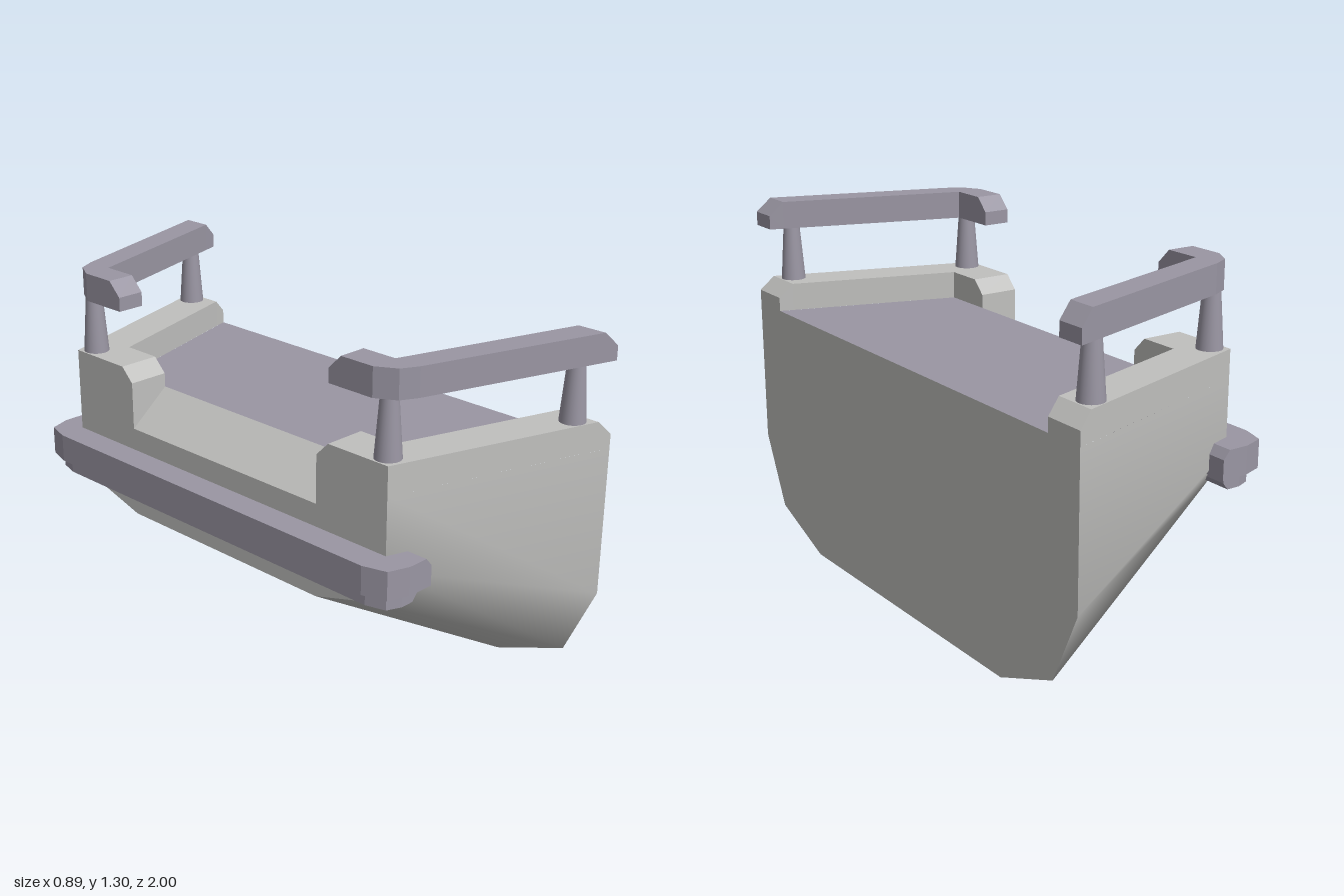
import * as THREE from 'three';

const hullGrey = new THREE.MeshStandardMaterial({ color: 0xc0c0be });
hullGrey.name = 'hullGrey';
const trimPurple = new THREE.MeshStandardMaterial({ color: 0x9a96a3 });
trimPurple.name = 'trimPurple';

const BACK = -0.35, FRONT = 0.445, DECK = 0.9, SILL = 0.78, GAP = 0.45;

// flat-shaded mesh from a list of convex polygons
function polys(name, list, material) {
  const pos = [];
  for (const p of list)
    for (let i = 1; i < p.length - 1; i++) pos.push(...p[0], ...p[i], ...p[i + 1]);
  const g = new THREE.BufferGeometry();
  g.setAttribute('position', new THREE.Float32BufferAttribute(pos, 3));
  g.computeVertexNormals();
  const m = new THREE.Mesh(g, material);
  m.name = name;
  return m;
}

// bar with a four-cornered section; station = [outerX, outerZ, innerX, innerZ, bottom, top]
function bar(name, stations, material, side = 1) {
  const rings = stations.map(([xo, zo, xi, zi, y0, y1]) => [
    [xo, y1, zo * side], [xi, y1, zi * side], [xi, y0, zi * side], [xo, y0, zo * side]]);
  const faces = [[...rings[0]].reverse(), rings[rings.length - 1]];
  for (let i = 0; i < rings.length - 1; i++)
    for (let k = 0; k < 4; k++) {
      const n = (k + 1) % 4;
      faces.push([rings[i][k], rings[i][n], rings[i + 1][n], rings[i + 1][k]]);
    }
  return polys(name, side > 0 ? faces : faces.map(f => [...f].reverse()), material);
}

// complete a half section or half path across z = 0
const mirrorSection = half => [...half, ...[...half].reverse().map(([z, y]) => [-z, y])];
const mirrorPath = half => [...half, ...[...half].reverse().map(
  ([xo, zo, xi, zi, a, b]) => [xo, -zo, xi, -zi, a, b])];

function createHull() {
  const hull = new THREE.Group();
  hull.name = 'hull';
  const back = mirrorSection([[0.75, DECK], [0.75, 0.65], [0.66, 0.51], [0.45, 0.45]]);
  const front = mirrorSection([[1, DECK], [1, 0.37], [0.88, 0.11], [0.6, 0]]);

  // smooth skin between the two end sections
  const pos = [], idx = [], n = back.length;
  for (const [z, y] of back) pos.push(BACK, y, z);
  for (const [z, y] of front) pos.push(FRONT, y, z);
  for (let k = 0; k < n - 1; k++)
    idx.push(k, k + 1, n + k + 1, k, n + k + 1, n + k);
  const g = new THREE.BufferGeometry();
  g.setAttribute('position', new THREE.Float32BufferAttribute(pos, 3));
  g.setIndex(idx);
  g.computeVertexNormals();
  const skin = new THREE.Mesh(g, hullGrey);
  skin.name = 'hullSkin';
  hull.add(skin);

  // large flat end
  hull.add(polys('flatEnd', [front.map(([z, y]) => [FRONT, y, z])], hullGrey));

  // narrow end wall with the notch, its sloped floor and its cheeks
  const lower = [[-0.45, 0.45], [0.45, 0.45], [0.66, 0.51], [0.75, 0.65], [0.75, SILL],
    [-0.75, SILL], [-0.75, 0.65], [-0.66, 0.51]].map(([z, y]) => [BACK, y, z]);
  const upper = (a, b) => [[BACK, SILL, a], [BACK, SILL, b], [BACK, DECK, b], [BACK, DECK, a]];
  const cheek = z => [[BACK, SILL, z], [BACK, DECK, z], [-0.2, DECK, z]];
  hull.add(polys('narrowEnd', [lower, upper(GAP, 0.75), upper(-0.75, -GAP)], hullGrey));
  hull.add(polys('notch', [
    [[BACK, SILL, -GAP], [BACK, SILL, GAP], [-0.2, DECK, GAP], [-0.2, DECK, -GAP]],
    cheek(GAP), cheek(-GAP).reverse()], hullGrey));

  hull.add(polys('deck', [[[-0.2, DECK, 0.645], [FRONT, DECK, 0.845],
    [FRONT, DECK, -0.845], [-0.2, DECK, -0.645]]], trimPurple));
  return hull;
}

function createSide(side) {
  const group = new THREE.Group();
  group.name = side > 0 ? 'frontBulwarkAndRail' : 'rearBulwarkAndRail';

  group.add(bar('bulwark', [
    [FRONT, 1, FRONT, 0.845, DECK, 0.95],
    [0.395, 0.984, 0.395, 0.83, DECK, 1],
    [BACK, 0.75, -0.2, 0.645, DECK, 1],
    [BACK, 0.5, -0.2, 0.5, DECK, 1],
    [BACK, GAP, -0.2, GAP, DECK, 0.95]], hullGrey, side));

  group.add(bar('handrail', [
    [FRONT, 1, FRONT, 0.895, 1.2, 1.25],
    [0.395, 0.984, 0.395, 0.88, 1.2, 1.3],
    [-0.25, 0.78, -0.25, 0.68, 1.2, 1.3],
    [-0.31, 0.75, -0.25, 0.68, 1.2, 1.3],
    [BACK, 0.68, -0.25, 0.675, 1.2, 1.3],
    [BACK, 0.55, -0.25, 0.55, 1.2, 1.3],
    [BACK, 0.5, -0.25, 0.5, 1.2, 1.25]], trimPurple, side));

  // tapered stanchions
  for (const [x, z] of [[-0.3, 0.705], [0.345, 0.918]]) {
    const post = new THREE.Mesh(new THREE.CylinderGeometry(0.03, 0.045, 0.2, 20), trimPurple);
    post.name = 'stanchion';
    post.position.set(x, 1.1, z * side);
    group.add(post);
  }
  return group;
}

function createBumper() {
  const group = new THREE.Group();
  group.name = 'bumper';
  group.add(bar('bumperBeam', mirrorPath([
    [-0.25, 0.85, -0.25, 0.74, 0.6, 0.67],
    [-0.275, 0.85, -0.275, 0.74, 0.6, 0.7],
    [-0.35, 0.85, -0.34, 0.74, 0.6, 0.7],
    [-0.425, 0.825, -0.34, 0.735, 0.6, 0.7],
    [-0.45, 0.74, -0.34, 0.73, 0.6, 0.7]]), trimPurple));
  group.add(bar('bumperLowerLip', mirrorPath([
    [-0.28, 0.82, -0.28, 0.7, 0.575, 0.6],
    [-0.3, 0.82, -0.3, 0.7, 0.55, 0.6],
    [-0.35, 0.82, -0.34, 0.7, 0.55, 0.6],
    [-0.4, 0.8, -0.34, 0.695, 0.55, 0.6],
    [-0.42, 0.73, -0.34, 0.69, 0.55, 0.6]]), trimPurple));
  return group;
}

export function createModel() {
  const model = new THREE.Group();
  model.name = 'lookoutPlatform';
  model.add(createHull(), createSide(1), createSide(-1), createBumper());
  return model;
}
